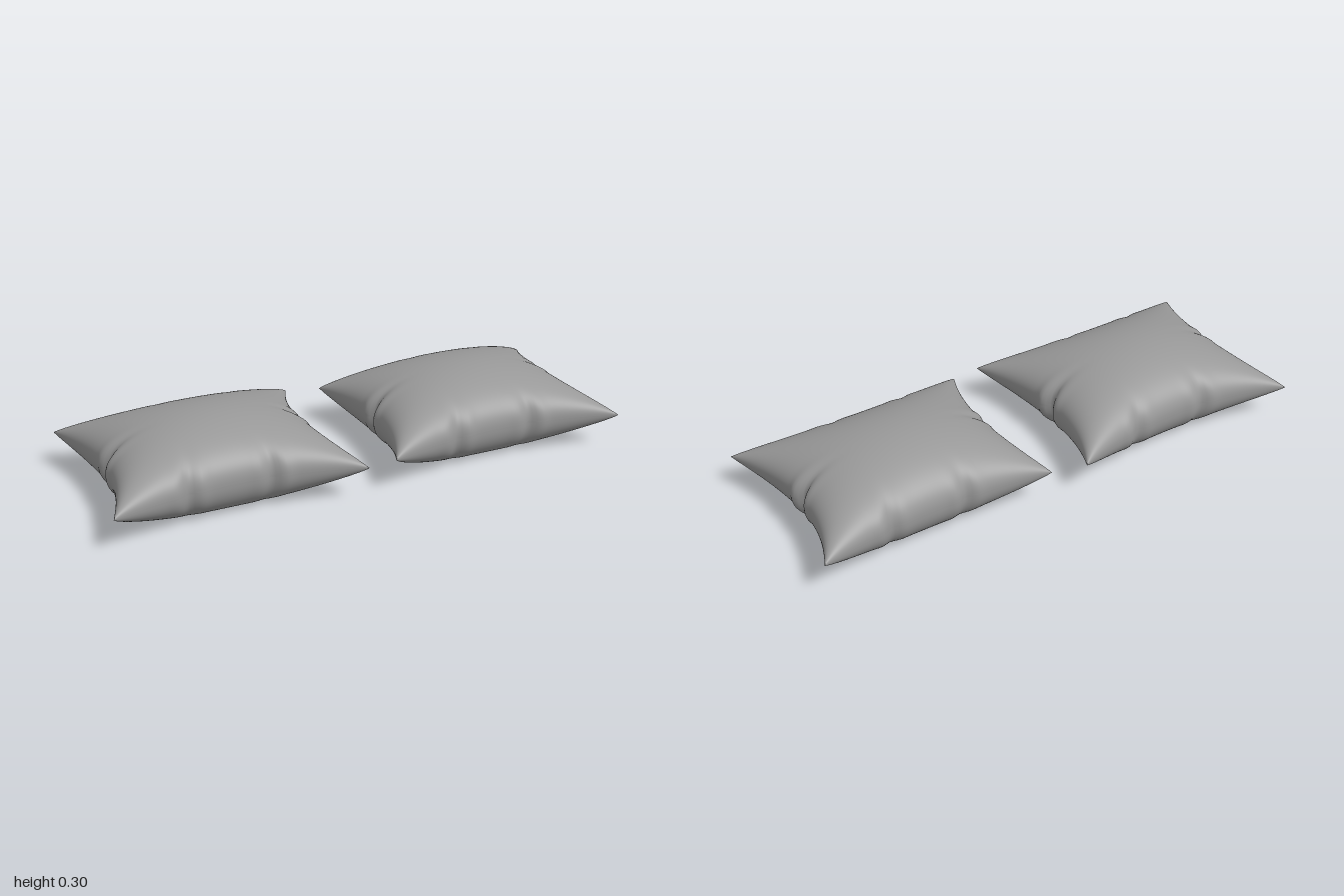
import * as THREE from 'three';

const N = 100;           // grid divisions across each cloth panel
const SEAM = 0.132;      // height of the seam
const HALF_X = 0.388, HALF_Z = 0.297; // half sizes at the middle of each edge

// A narrow pinch with a small pucker beside it
const bump = (t, w) => Math.exp(-(t * t) / (w * w));
const pinch = (t, w = 0.055) => bump(t, w) - 0.35 * bump(t - 2.2 * w, w) - 0.2 * bump(t + 2.2 * w, w);

// Fullness of the cushion: 1 in the middle, 0 on the seam
const fullness = (u, v) => Math.pow(Math.max(0, (1 - u * u) * (1 - v * v)), 0.44);

// Underside, resting flat on the ground
function underside(h) {
  const d = SEAM - 0.187 * h;
  return 0.5 * (d + Math.sqrt(d * d + 0.0001));
}
const topside = (h) => underside(0) + 0.165 * h;

// One cloth panel; corners = [backLeft, backRight, frontLeft, frontRight] as [x, z] reaches
function panel(corners, height, up) {
  const positions = [], index = [];
  for (let j = 0; j <= N; j++) {
    for (let i = 0; i <= N; i++) {
      const u = Math.sin((i / N - 0.5) * Math.PI);
      const v = Math.sin((j / N - 0.5) * Math.PI);
      const [cx, cz] = corners[(v > 0 ? 2 : 0) + (u > 0 ? 1 : 0)];
      // outline flares toward the corners
      let x = u * (HALF_X + (cx - HALF_X) * v * v);
      let z = v * (HALF_Z + (cz - HALF_Z) * u * u);
      // one pinch on each side edge, two on the front and back edges
      x -= Math.pow(u, 5) * 0.026 * pinch(v);
      const places = v > 0 ? [-0.38, 0.28] : [-0.26, 0.39];
      for (const p of places) z -= Math.pow(v, 5) * 0.014 * pinch(u - p, 0.05);
      positions.push(x, height(fullness(u, v)), z);
    }
  }
  for (let j = 0; j < N; j++) {
    for (let i = 0; i < N; i++) {
      const a = j * (N + 1) + i, b = a + 1, c = a + N + 1, d = c + 1;
      if (up) index.push(a, c, b, b, c, d);
      else index.push(a, b, c, b, d, c);
    }
  }
  const geometry = new THREE.BufferGeometry();
  geometry.setAttribute('position', new THREE.Float32BufferAttribute(positions, 3));
  geometry.setIndex(index);
  geometry.computeVertexNormals();
  return geometry;
}

export function createModel() {
  const model = new THREE.Group();
  model.name = 'pillows';
  const fabric = new THREE.MeshStandardMaterial({ color: 0x999999, side: THREE.DoubleSide });
  fabric.name = 'grey fabric';

  const pillows = [
    { name: 'rightPillow', x: -0.526, corners: [[0.459, 0.39], [0.476, 0.375], [0.474, 0.37], [0.466, 0.385]] },
    { name: 'leftPillow', x: 0.526, corners: [[0.446, 0.34], [0.474, 0.345], [0.471, 0.37], [0.474, 0.385]] },
  ];
  for (const { name, x, corners } of pillows) {
    const pillow = new THREE.Group();
    pillow.name = name;
    pillow.position.x = x;
    // upper and lower cloth meet in a crisp seam
    const top = new THREE.Mesh(panel(corners, topside, true), fabric);
    top.name = 'upperCloth';
    const bottom = new THREE.Mesh(panel(corners, underside, false), fabric);
    bottom.name = 'lowerCloth';
    pillow.add(top, bottom);
    model.add(pillow);
  }
  return model;
}
